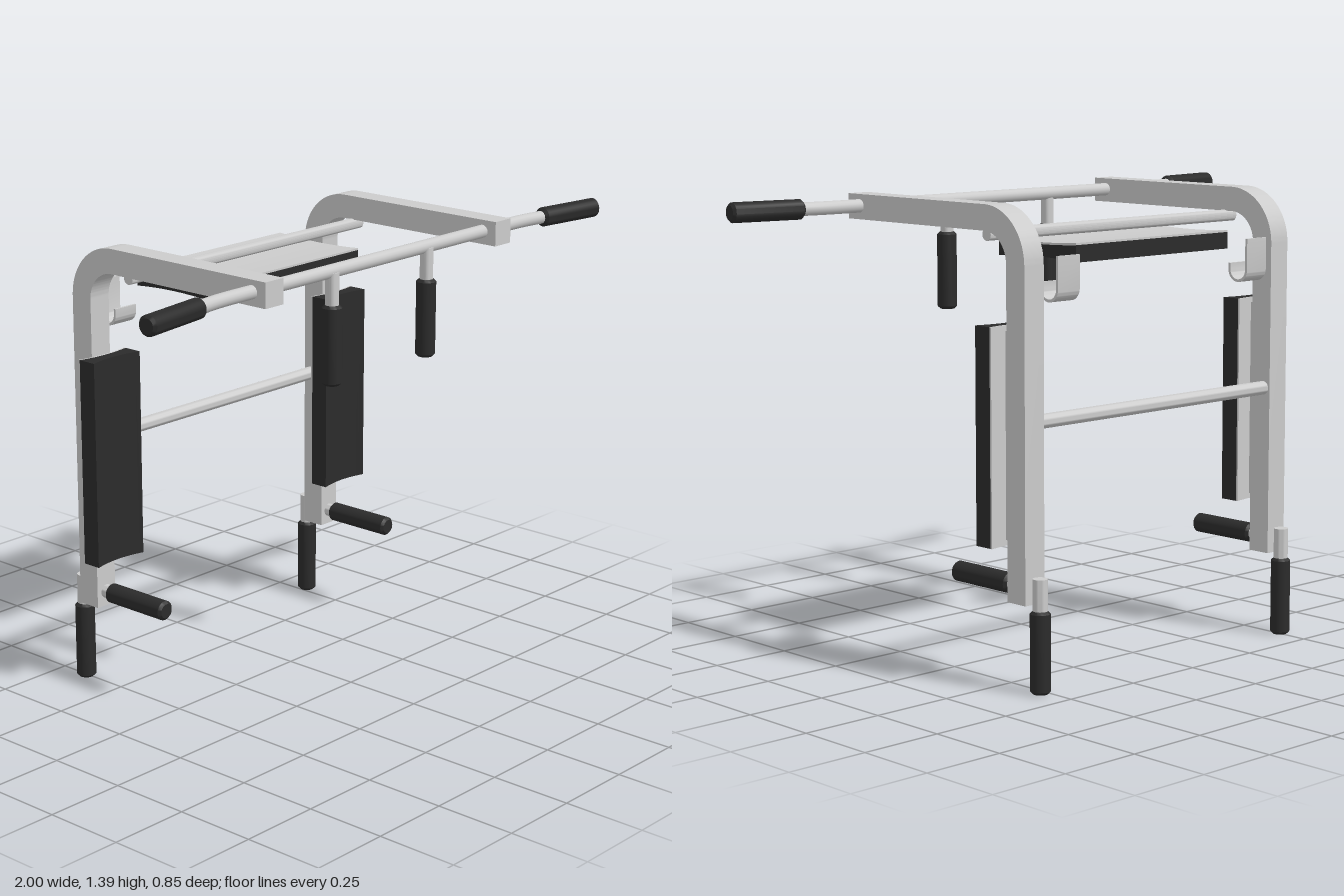
import * as THREE from 'three';
import { toCreasedNormals } from 'three/addons/utils/BufferGeometryUtils.js';

const steel = new THREE.MeshStandardMaterial({ color: 0xcccccc });
const foam = new THREE.MeshStandardMaterial({ color: 0x2b2b2b });
const V = (x, y, z) => new THREE.Vector3(x, y, z);
const UP = V(0, 1, 0);

function mesh(parent, name, geometry, material = steel) {
  const m = new THREE.Mesh(geometry, material);
  m.name = name;
  parent.add(m);
  return m;
}

// Round rod between two points; a chamfer trims both end rims
function rod(parent, name, a, b, r, material = steel, chamfer = 0) {
  const len = a.distanceTo(b), c = chamfer;
  const profile = [[0, 0], [r - c, 0], [r, c], [r, len - c], [r - c, len], [0, len]]
    .filter((p, i, all) => i === 0 || p.join() !== all[i - 1].join())
    .map(([x, y]) => new THREE.Vector2(x, y));
  const g = toCreasedNormals(new THREE.LatheGeometry(profile, 24), 0.6);
  const m = mesh(parent, name, g, material);
  m.position.copy(a);
  m.quaternion.setFromUnitVectors(UP, b.clone().sub(a).normalize());
  return m;
}
const grip = (parent, name, a, b) => rod(parent, name, a, b, 0.03, foam, 0.008);

function extrude(shape, depth) {
  const g = new THREE.ExtrudeGeometry(shape, { depth, bevelEnabled: false, curveSegments: 16 });
  g.translate(0, 0, -depth / 2);
  return g;
}

// Slab between two curves v = lo(u) and v = hi(u) across a width
function slabShape(width, lo, hi) {
  const pts = [], n = 12;
  for (let i = 0; i <= n; i++) {
    const t = (i / n) * 2 - 1;
    pts.push(new THREE.Vector2(t * width / 2, lo(t)));
  }
  for (let i = n; i >= 0; i--) {
    const t = (i / n) * 2 - 1;
    pts.push(new THREE.Vector2(t * width / 2, hi(t)));
  }
  return new THREE.Shape(pts);
}

// Hollowed cushion on a thin steel backing sheet
function pad(name, width, thick, length, dip, basis) {
  const g = new THREE.Group();
  g.name = name;
  const hollow = t => dip * (1 - t * t);
  const h = thick / 2, sheet = 0.006;
  const back = t => -h + hollow(t) * 0.8;
  const cushion = slabShape(width, t => back(t) + sheet, t => h - hollow(t));
  const plate = slabShape(width, back, t => back(t) + sheet);
  mesh(g, 'cushion', toCreasedNormals(extrude(cushion, length).applyMatrix4(basis), 0.5), foam);
  mesh(g, 'backingSheet', toCreasedNormals(extrude(plate, length).applyMatrix4(basis), 0.5));
  return g;
}

// Bent square tube: overhead arm running into the upright
function frameGeometry() {
  const s = new THREE.Shape();
  s.moveTo(0.395, 1.387);
  s.lineTo(-0.21, 1.387);
  s.absarc(-0.21, 1.222, 0.165, Math.PI / 2, Math.PI, false);
  s.lineTo(-0.375, 0.257);
  s.lineTo(-0.3, 0.257);
  s.lineTo(-0.3, 1.222);
  s.absarc(-0.21, 1.222, 0.09, Math.PI, Math.PI / 2, true);
  s.lineTo(0.395, 1.312);
  s.closePath();
  return toCreasedNormals(extrude(s, 0.074).rotateY(-Math.PI / 2), 0.5);
}

// J-shaped hook, tall wall at the back and short lip at the front
function hookGeometry() {
  const s = new THREE.Shape();
  s.moveTo(-0.39, 1.245);
  s.lineTo(-0.39, 1.15);
  s.absarc(-0.352, 1.15, 0.038, Math.PI, 2 * Math.PI, false);
  s.lineTo(-0.314, 1.168);
  s.lineTo(-0.322, 1.168);
  s.lineTo(-0.322, 1.15);
  s.absarc(-0.352, 1.15, 0.03, 0, -Math.PI, true);
  s.lineTo(-0.382, 1.245);
  s.closePath();
  return toCreasedNormals(extrude(s, 0.085).rotateY(-Math.PI / 2), 0.5);
}

export function createModel() {
  const model = new THREE.Group();
  model.name = 'pullUpAndDipStation';
  const mid = 0.009, half = 0.513;
  const armBasis = new THREE.Matrix4().makeBasis(V(1, 0, 0), V(0, 0, 1), V(0, -1, 0));
  const backBasis = new THREE.Matrix4().makeBasis(V(0, 0, 1), V(0, -1, 0), V(1, 0, 0));

  for (const [side, s] of [['right', -1], ['left', 1]]) {
    const g = new THREE.Group();
    g.name = side + 'Side';
    model.add(g);
    const x = mid + s * half;

    mesh(g, 'frameTube', frameGeometry()).position.x = x;

    // Vertical pad in front of the upright
    const p = pad('uprightPad', 0.187, 0.066, 0.632, 0.014, armBasis);
    p.position.set(x, 0.735, -0.265);
    g.add(p);
    mesh(g, 'padMount', new THREE.BoxGeometry(0.06, 0.6, 0.02)).position.set(x, 0.735, -0.293);

    // Forward and downward handles at the foot of the upright
    rod(g, 'forwardPeg', V(x, 0.303, -0.31), V(x, 0.303, -0.26), 0.021);
    grip(g, 'forwardGrip', V(x, 0.303, -0.28), V(x, 0.303, -0.043));
    rod(g, 'lowerPeg', V(x, 0.22, -0.397), V(x, 0.335, -0.397), 0.022);
    grip(g, 'lowerGrip', V(x, 0, -0.397), V(x, 0.242, -0.397));

    // Hook beside the upright
    mesh(g, 'hook', hookGeometry()).position.x = mid + s * 0.393;

    // Handle hanging from the front bar
    const hx = s * 0.212;
    rod(g, 'hangingPeg', V(hx, 1.24, 0.35), V(hx, 1.35, 0.35), 0.02);
    grip(g, 'hangingGrip', V(hx, 1.018, 0.35), V(hx, 1.255, 0.35));

    // Angled grip at the end of the front bar
    grip(g, 'barGrip', V(s * 0.762, 1.352, 0.358), V(s * 0.997, 1.352, 0.393));
  }

  // Front bar with bent ends
  const barPoints = [-0.9, -0.762, -0.7, -0.64, -0.4, 0, 0.4, 0.64, 0.7, 0.762, 0.9]
    .map(x => V(x, 1.352, 0.345 + Math.max(0, Math.abs(x) - 0.675) * 0.15));
  mesh(model, 'frontBar', new THREE.TubeGeometry(new THREE.CatmullRomCurve3(barPoints), 80, 0.02, 16));

  // Cross bars joining the two sides
  rod(model, 'upperCrossBar', V(mid - half, 1.297, -0.178), V(mid + half, 1.297, -0.178), 0.018);
  rod(model, 'middleCrossBar', V(mid - half, 0.775, -0.348), V(mid + half, 0.775, -0.348), 0.021);

  // Pad under the upper cross bar
  const backPad = pad('backPad', 0.325, 0.056, 0.635, 0.008, backBasis);
  backPad.position.set(mid, 1.243, -0.177);
  model.add(backPad);

  return model;
}
